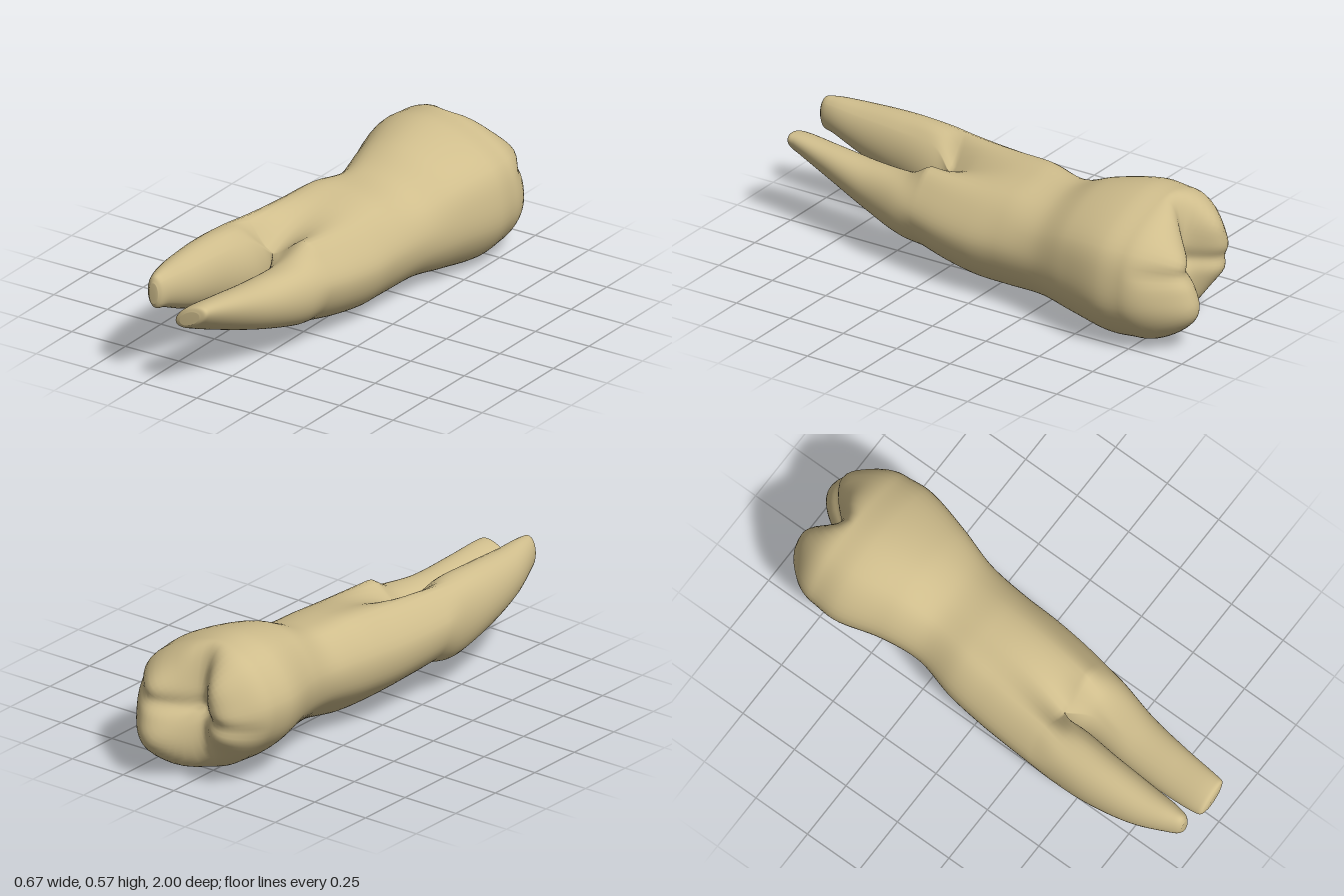
import * as THREE from 'three';
import { mergeGeometries, mergeVertices } from 'three/addons/utils/BufferGeometryUtils.js';

const V = (x, y, z) => new THREE.Vector3(x, y, z);
const lerp = THREE.MathUtils.lerp;

// Skin closed rings (clockwise seen from +z, running towards +z), capping the first or the last ring
function skin(rings, capFirst) {
  const n = rings[0].length, pos = [], idx = [];
  rings.forEach(r => r.forEach(p => pos.push(p.x, p.y, p.z)));
  for (let j = 0; j < rings.length - 1; j++) {
    for (let i = 0; i < n; i++) {
      const a = j * n + i, b = j * n + (i + 1) % n, c = a + n, d = b + n;
      idx.push(a, c, b, b, c, d);
    }
  }
  const last = rings.length - 1, start = capFirst ? 0 : last * n, k = pos.length / 3;
  const mid = V(0, 0, 0);
  rings[capFirst ? 0 : last].forEach(p => mid.addScaledVector(p, 1 / n));
  pos.push(mid.x, mid.y, mid.z);
  for (let i = 0; i < n; i++) {
    const a = start + i, b = start + (i + 1) % n;
    if (capFirst) idx.push(k, a, b); else idx.push(k, b, a);
  }
  const g = new THREE.BufferGeometry();
  g.setAttribute('position', new THREE.Float32BufferAttribute(pos, 3));
  g.setIndex(idx);
  return g;
}

// Smooth control rings lengthwise into steps + 1 rings
function smoothRings(rings, steps) {
  const curves = rings[0].map((_, i) => new THREE.CatmullRomCurve3(rings.map(r => r[i])));
  return Array.from({ length: steps + 1 }, (_, j) => curves.map(c => c.getPoint(j / steps)));
}

// Outlines in a unit box, x,y pairs from the top towards +x
const CROWN = [-0.22, 1, 0.35, 0.87, 0.86, 0.5, 1, 0.06, 0.98, -0.4, 0.72, -0.82,
  0.35, -1, -0.22, -0.89, -0.63, -0.61, -0.93, -0.22, -1, 0.27, -0.69, 0.82];
const TRUNK = [-0.08, 0.98, 0.5, 0.81, 0.81, 0.47, 1, 0, 0.92, -0.47, 0.65, -0.86,
  0.31, -1, -0.15, -0.98, -0.6, -0.62, -0.94, -0.15, -0.98, 0.42, -0.58, 1];

// Stations: z, x min, x max, y min, y max, crown-to-trunk blend, top groove, bottom groove
const STATIONS = [
  [-0.64, -0.312, 0.33, 0, 0.567, 0, 0, 0],
  [-0.45, -0.262, 0.287, 0.025, 0.53, 0.1, 0, 0],
  [-0.28, -0.243, 0.24, 0.045, 0.465, 0.5, 0, 0],
  [-0.1, -0.288, 0.222, 0.033, 0.467, 0.9, 0, 0],
  [0.05, -0.308, 0.217, 0.033, 0.46, 1, 0.012, 0.01],
  [0.2, -0.322, 0.2, 0.052, 0.458, 1, 0.055, 0.035],
  [0.32, -0.332, 0.178, 0.075, 0.46, 1, 0.12, 0.07],
];

function section([z, x0, x1, y0, y1, blend, topGroove, bottomGroove]) {
  const pts = [];
  for (let i = 0; i < CROWN.length; i += 2) {
    const u = lerp(CROWN[i], TRUNK[i], blend), v = lerp(CROWN[i + 1], TRUNK[i + 1], blend);
    pts.push(V(lerp(x0, x1, (u + 1) / 2), lerp(y0, y1, (v + 1) / 2), z));
  }
  pts[0].y -= topGroove;
  pts[7].y += bottomGroove;
  const curve = new THREE.CatmullRomCurve3(pts, true);
  return Array.from({ length: 60 }, (_, i) => curve.getPoint(i / 60));
}

// Chewing surface: cusps, a deep groove between the halves and a shallow cross groove
const CUSPS = [[0.15, 0.17, 0.13, 0.14], [0.17, 0.36, 0.07, 0.1], [-0.17, 0.27, 0.07, 0.11], [-0.13, 0.42, 0.05, 0.09]];
function biteZ(x, y) {
  let z = -0.87;
  for (const [cx, cy, h, w] of CUSPS) z -= h * Math.exp(-((x - cx) ** 2 + (y - cy) ** 2) / (w * w));
  z += 0.06 * Math.exp(-(((x + 0.02) / 0.06) ** 2));
  z += 0.025 * Math.exp(-(((y - 0.3 - 0.15 * x) / 0.035) ** 2));
  return Math.max(z, -1);
}

// Crown and trunk, ending in the ring where the roots part
const RIM_Z = -0.75;
function crownAndTrunk(control) {
  const shrink = (p, s) => V(lerp(0.01, p.x, s), lerp(0.28, p.y, s), RIM_Z);
  const rim = control[0].map(p => shrink(p, 0.98));
  const bite = [];
  for (let k = 1; k <= 20; k++) {
    const s = Math.sin((k / 21) * Math.PI / 2);
    const rise = Math.sqrt(1 - s ** 5);
    bite.push(rim.map(p => {
      const q = shrink(p, s);
      q.z = lerp(RIM_Z, biteZ(q.x, q.y), rise);
      return q;
    }));
  }
  return skin([...bite, ...smoothRings([rim, ...control], 56)], true);
}

// Root grown from part of the trunk ring, closed by a web across the fork.
// Sections: z, x min, x max, y min, y max, lean of the top. Outer side sweeps angle a0 to a0 + 270 degrees.
const WEB = 24;
function root(outer, a0, sections) {
  const from = outer[outer.length - 1], to = outer[0];
  const web = Array.from({ length: WEB - 1 }, (_, i) => from.clone().lerp(to, (i + 1) / WEB));
  const base = [...outer, ...web];
  const span = outer.length - 1;
  const rings = sections.map(([z, x0, x1, y0, y1, lean]) => {
    const w = (x1 - x0) / 2, rx = Math.sqrt(w * w - lean * lean), ry = (y1 - y0) / 2;
    return base.map((_, i) => {
      const turn = i <= span ? 0.75 * i / span : 0.75 + 0.25 * (i - span) / WEB;
      const a = a0 + turn * Math.PI * 2;
      return V((x0 + x1) / 2 + rx * Math.sin(a) + lean * Math.cos(a), (y0 + y1) / 2 + ry * Math.cos(a), z);
    });
  });
  return skin(smoothRings([base, ...rings], 48), false);
}

export function createModel() {
  const model = new THREE.Group();
  model.name = 'molarTooth';
  const ivory = new THREE.MeshStandardMaterial({ color: 0xcfbd8c });
  ivory.name = 'ivory';

  const control = STATIONS.map(section);
  const fork = control[control.length - 1];

  const leftRoot = root(fork.slice(0, 36), -Math.PI / 4, [
    [0.42, -0.082, 0.162, 0.1, 0.368, 0.01],
    [0.6, -0.098, 0.112, 0.142, 0.355, 0.015],
    [0.8, -0.11, 0.07, 0.205, 0.37, 0.03],
    [0.96, -0.112, 0.043, 0.265, 0.384, 0.04],
    [0.99, -0.105, 0.036, 0.28, 0.38, 0.04],
    [1, -0.08, 0.01, 0.295, 0.36, 0.025],
  ]);
  const rightRoot = root([...fork.slice(35), fork[0]], Math.PI * 0.75, [
    [0.42, -0.334, -0.1, 0.125, 0.463, -0.01],
    [0.6, -0.335, -0.125, 0.18, 0.47, 0],
    [0.8, -0.31, -0.145, 0.25, 0.465, 0],
    [0.93, -0.268, -0.162, 0.308, 0.463, 0],
    [0.975, -0.245, -0.175, 0.322, 0.455, 0],
    [0.99, -0.23, -0.19, 0.345, 0.43, 0],
  ]);

  // One continuous skin, so the shading runs smoothly through the fork
  const geometry = mergeVertices(mergeGeometries([crownAndTrunk(control), leftRoot, rightRoot]));
  geometry.computeVertexNormals();
  const tooth = new THREE.Mesh(geometry, ivory);
  tooth.name = 'crownAndRoots';
  model.add(tooth);
  return model;
}
